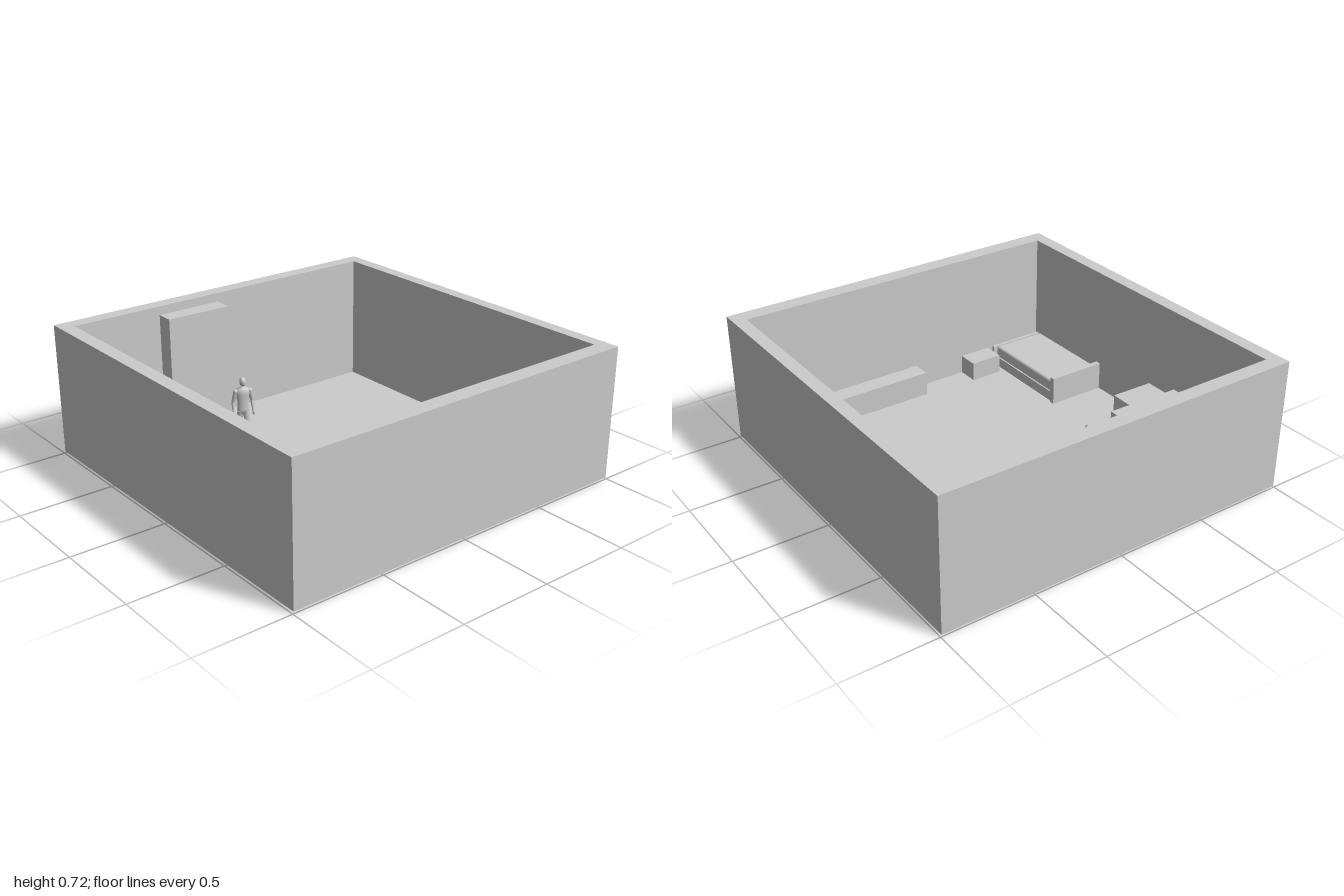
import * as THREE from 'three';
import { RoundedBoxGeometry } from 'three/addons/geometries/RoundedBoxGeometry.js';

const mat = new THREE.MeshStandardMaterial({ color: 0xcccccc });
const FLOOR = 0.012;

function add(parent, name, geometry) {
  const mesh = new THREE.Mesh(geometry, mat);
  mesh.name = name;
  parent.add(mesh);
  return mesh;
}

// Box given by its limits on each axis
function block(parent, name, x0, x1, y0, y1, z0, z1) {
  const mesh = add(parent, name, new THREE.BoxGeometry(x1 - x0, y1 - y0, z1 - z0));
  mesh.position.set((x0 + x1) / 2, (y0 + y1) / 2, (z0 + z1) / 2);
  return mesh;
}

// Vertical prism from a plan outline of [x, z] points
function prism(parent, name, plan, y0, y1) {
  const shape = new THREE.Shape(plan.map(([x, z]) => new THREE.Vector2(x, -z)));
  const g = new THREE.ExtrudeGeometry(shape, { depth: y1 - y0, bevelEnabled: false });
  g.rotateX(-Math.PI / 2).translate(0, y0, 0);
  return add(parent, name, g);
}

// Tapered limb between two points
function limb(parent, name, a, b, ra, rb) {
  const p = new THREE.Vector3(...a), q = new THREE.Vector3(...b);
  const d = q.clone().sub(p);
  const mesh = add(parent, name, new THREE.CylinderGeometry(rb, ra, d.length(), 10));
  mesh.position.copy(p).lerp(q, 0.5);
  mesh.quaternion.setFromUnitVectors(new THREE.Vector3(0, 1, 0), d.normalize());
}

function ball(parent, name, pos, sx, sy, sz) {
  const mesh = add(parent, name, new THREE.SphereGeometry(1, 14, 10));
  mesh.scale.set(sx, sy, sz);
  mesh.position.set(...pos);
}

// Standing figure, 0.38 tall, facing +z of its own group
function createFigure() {
  const figure = new THREE.Group();
  figure.name = 'standingFigure';

  const profile = [[0, 0.17], [0.03, 0.175], [0.033, 0.2], [0.029, 0.235], [0.036, 0.28],
    [0.038, 0.3], [0.03, 0.318], [0.012, 0.326], [0.01, 0.345], [0, 0.345]];
  const torso = add(figure, 'torso',
    new THREE.LatheGeometry(profile.map(([r, y]) => new THREE.Vector2(r, y)), 16));
  torso.scale.z = 0.62;
  ball(figure, 'head', [0, 0.355, 0.003], 0.017, 0.025, 0.021);

  for (const s of [-1, 1]) {
    const step = s * 0.016;
    // Leg with knee and shoe
    const hip = [s * 0.016, 0.19, 0], knee = [s * 0.021, 0.1, step * 0.7 + 0.004];
    const ankle = [s * 0.024, 0.014, step];
    limb(figure, 'thigh', hip, knee, 0.019, 0.014);
    limb(figure, 'shin', knee, ankle, 0.014, 0.01);
    ball(figure, 'knee', knee, 0.014, 0.014, 0.014);
    ball(figure, 'shoe', [s * 0.026, 0.009, step + 0.012], 0.011, 0.009, 0.024);
    // Arm with elbow and hand
    const shoulder = [s * 0.038, 0.302, 0], elbow = [s * 0.052, 0.242, -0.006];
    const wrist = [s * 0.054, 0.19, 0.01];
    limb(figure, 'upperArm', shoulder, elbow, 0.013, 0.01);
    limb(figure, 'forearm', elbow, wrist, 0.01, 0.007);
    ball(figure, 'shoulder', shoulder, 0.014, 0.014, 0.013);
    ball(figure, 'elbow', elbow, 0.01, 0.01, 0.01);
    ball(figure, 'hand', [s * 0.054, 0.178, 0.013], 0.007, 0.014, 0.009);
  }
  return figure;
}

// Bed along the right wall: base, rounded mattress, end boards
function createBed() {
  const bed = new THREE.Group();
  bed.name = 'bed';
  block(bed, 'bedBase', -0.92, -0.6, FLOOR, 0.07, 0.33, 0.88);
  const mattress = add(bed, 'mattress', new RoundedBoxGeometry(0.32, 0.07, 0.54, 3, 0.015));
  mattress.position.set(-0.765, 0.1, 0.605);
  block(bed, 'headBoard', -0.92, -0.59, FLOOR, 0.17, 0.3, 0.33);
  block(bed, 'footBoard', -0.92, -0.59, FLOOR, 0.13, 0.88, 0.9);
  return bed;
}

export function createModel() {
  const room = new THREE.Group();
  room.name = 'room';

  // Four walls as one ring, with the floor closing the bottom
  const X = 0.995, Z = 1;
  const outline = new THREE.Shape([[-X, -Z], [X, -Z], [X, Z], [-X, Z]]
    .map(([x, y]) => new THREE.Vector2(x, y)));
  outline.holes.push(new THREE.Path([[-0.92, -0.91], [-0.92, 0.92], [0.925, 0.92], [0.925, -0.91]]
    .map(([x, y]) => new THREE.Vector2(x, y))));
  const walls = new THREE.ExtrudeGeometry(outline, { depth: 0.718 - FLOOR, bevelEnabled: false });
  walls.rotateX(-Math.PI / 2).translate(0, FLOOR, 0);
  add(room, 'walls', walls);
  block(room, 'floor', -X, X, FLOOR - 0.002, FLOOR + 0.001, -Z, Z);

  // Furniture
  prism(room, 'sideCounter',
    [[-0.97, -0.725], [-0.665, -0.72], [-0.678, -0.115], [-0.97, -0.12]], 0, 0.23);
  prism(room, 'tallCabinet',
    [[-0.42, -0.93], [-0.05, -0.93], [-0.05, -0.815], [-0.42, -0.825]], 0.004, 0.67);
  block(room, 'lowCabinet', -0.07, 0.53, 0.006, 0.15, 0.805, 0.93);
  block(room, 'nightstand', -0.565, -0.38, 0.006, 0.12, 0.79, 0.93);
  block(room, 'rug', -0.48, 0.475, FLOOR, 0.018, -0.28, 0.27);
  room.add(createBed());

  const figure = createFigure();
  figure.position.set(-0.195, FLOOR, -0.49);
  figure.rotation.y = -0.35;
  room.add(figure);
  return room;
}
